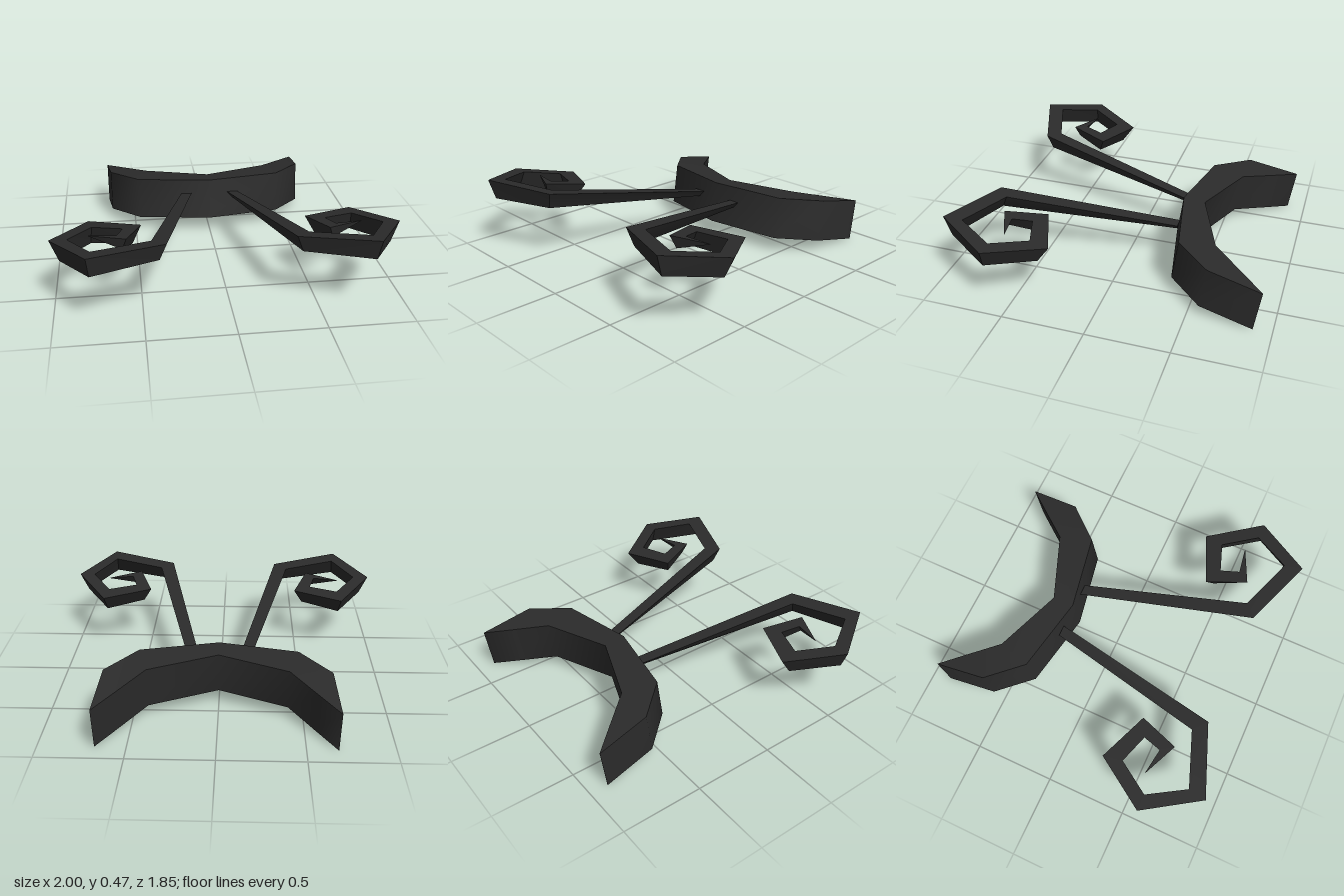
import * as THREE from 'three';
import { toCreasedNormals } from 'three/addons/utils/BufferGeometryUtils.js';

// Skin a row of matching cross-sections, cap both ends, and face it outward.
function loft(sections, crease) {
  const n = sections[0].length;
  const points = sections.flat();
  const faces = [];
  for (let s = 0; s < sections.length - 1; s++) {
    for (let i = 0; i < n; i++) {
      const a = s * n + i, b = s * n + ((i + 1) % n);
      faces.push([a, b, b + n], [a, b + n, a + n]);
    }
  }
  const last = (sections.length - 1) * n;
  for (let i = 1; i < n - 1; i++) {
    faces.push([0, i + 1, i], [last, last + i, last + i + 1]);
  }
  // a negative volume means the corners run the wrong way round
  let volume = 0;
  const v = points.map((p) => new THREE.Vector3(...p));
  const cross = new THREE.Vector3();
  for (const [a, b, c] of faces) volume += v[a].dot(cross.crossVectors(v[b], v[c]));
  if (volume < 0) faces.forEach((f) => f.reverse());

  const geometry = new THREE.BufferGeometry();
  geometry.setAttribute('position', new THREE.Float32BufferAttribute(points.flat(), 3));
  geometry.setIndex(faces.flat());
  return toCreasedNormals(geometry, crease);
}

// Curved, tilted band that narrows to a vertical edge at each end
function bandGeometry() {
  // outer x, outer z, inner x, inner z along the top edge
  const half = [
    [0, -0.305, 0, -0.44],
    [0.47, -0.395, 0.41, -0.60],
    [0.655, -0.605, 0.56, -0.783],
    [0.68, -0.925, 0.678, -0.925],
  ];
  const topY = (z) => {
    const d = -z - 0.3;
    return 0.36 - 0.1 * d - 0.12 * Math.max(0, d - 0.3);
  };
  const section = ([ox, oz, ix, iz], side) => [
    [side * ox, topY(oz), oz],
    [side * ix, topY(iz), iz],
    [side * ix, topY(iz) - 0.26, iz + 0.037],
    [side * ox, topY(oz) - 0.26, oz + 0.037],
  ];
  const left = half.map((p) => section(p, 1));
  const right = half.slice(1).reverse().map((p) => section(p, -1));
  return loft([...right, ...left], 0.9);
}

// Curled feeler: a flat-topped triangular section following an angular spiral
function feelerGeometry(side) {
  // outer x, outer z, inner x, inner z, depth of the lower ridge
  const path = [
    [0.12, -0.315, 0.19, -0.315, 0.04],
    [0.36, 0.76, 0.44, 0.69, 0.1],
    [0.79, 0.92, 0.77, 0.81, 0.12],
    [1.0, 0.59, 0.90, 0.59, 0.12],
    [0.79, 0.275, 0.77, 0.395, 0.115],
    [0.485, 0.40, 0.593, 0.455, 0.1],
    [0.575, 0.64, 0.627, 0.567, 0.07],
    [0.785, 0.545, 0.784, 0.543, 0.003],
  ];
  const topY = (z) => 0.34 + 0.14 * z - (z < 0 ? 0.03 : 0);
  const sections = path.map(([ox, oz, ix, iz, depth]) => {
    const mz = (oz + iz) / 2;
    return [
      [side * ox, topY(oz), oz],
      [side * ix, topY(iz), iz],
      [side * (ox + ix) / 2, topY(mz) - depth, mz + depth * 0.14],
    ];
  });
  return loft(sections, 0.5);
}

export function createModel() {
  const charcoal = new THREE.MeshStandardMaterial({ color: 0x2b2b2b });
  charcoal.name = 'charcoal';

  const model = new THREE.Group();
  model.name = 'feelerHeadband';
  const add = (name, geometry) => {
    const mesh = new THREE.Mesh(geometry, charcoal);
    mesh.name = name;
    model.add(mesh);
  };

  add('band', bandGeometry());
  add('leftFeeler', feelerGeometry(1));
  add('rightFeeler', feelerGeometry(-1));
  return model;
}
